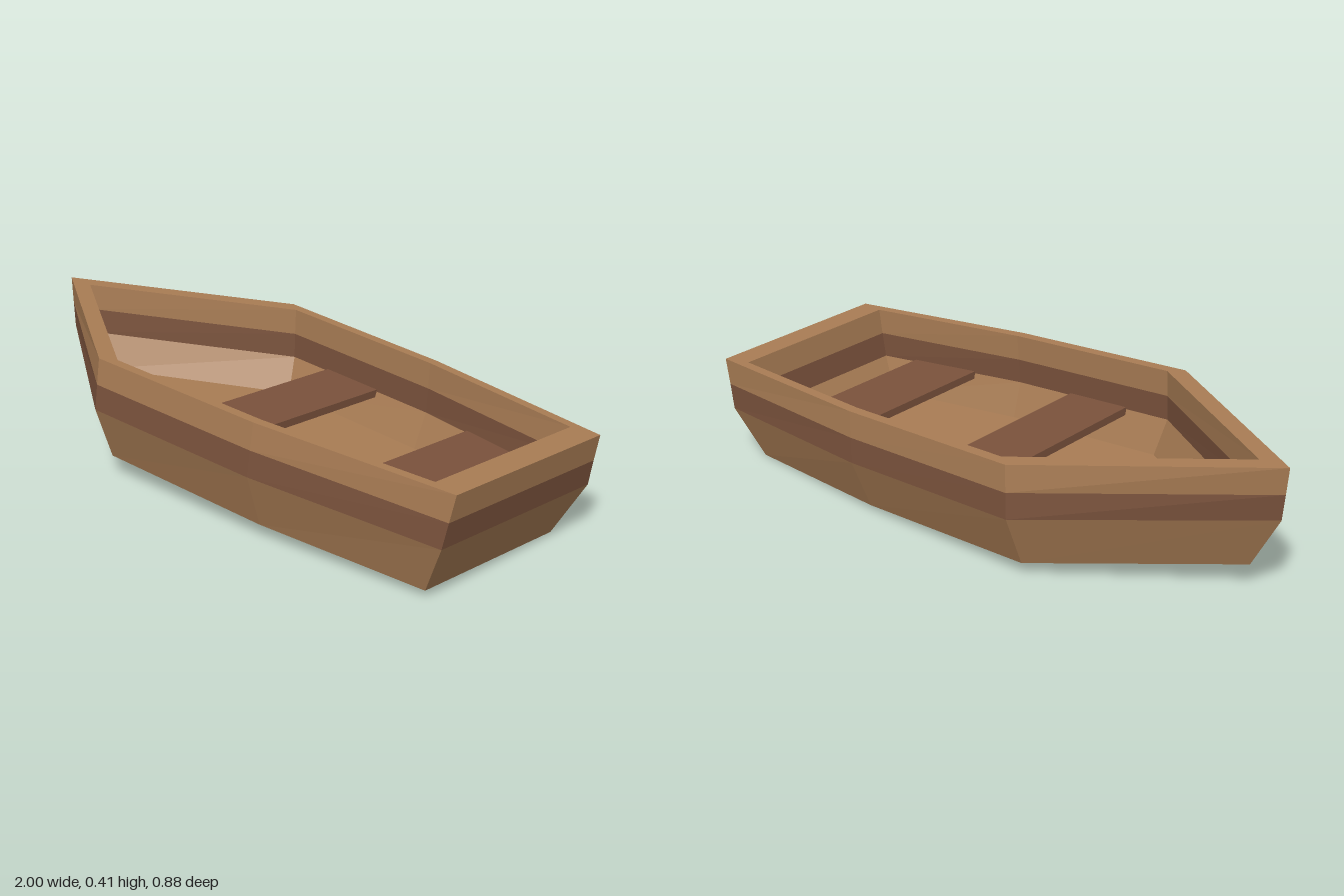
import * as THREE from 'three';

const LIGHT = new THREE.MeshStandardMaterial({ color: 0xa87c54, flatShading: true });
const DARK = new THREE.MeshStandardMaterial({ color: 0x7a523c, flatShading: true });

// Outline of the boat at one height: bow point, then pairs of corners back to the stern.
// The bow points to -x; corners are [x, half width].
function ring(y, bowX, corners) {
  const near = corners.map(([x, h]) => [x, y, h]);
  const far = corners.map(([x, h]) => [x, y, -h]).reverse();
  return [[bowX, y, 0], ...near, ...far];
}

// Strip of planks between two outlines
function band(a, b) {
  const out = [];
  a.forEach((p, i) => {
    const j = (i + 1) % a.length;
    out.push(p, a[j], b[j], p, b[j], b[i]);
  });
  return out;
}

// Flat cap over an outline
function cap(r, up) {
  const out = [];
  for (let i = 1; i < r.length - 1; i++) {
    out.push(r[0], ...(up ? [r[i], r[i + 1]] : [r[i + 1], r[i]]));
  }
  return out;
}

function addMesh(group, name, points, material) {
  const geo = new THREE.BufferGeometry();
  geo.setAttribute('position', new THREE.Float32BufferAttribute(points.flat(), 3));
  geo.computeVertexNormals();
  const mesh = new THREE.Mesh(geo, material);
  mesh.name = name;
  group.add(mesh);
}

export function createModel() {
  const boat = new THREE.Group();
  boat.name = 'rowingBoat';

  // Outlines from the keel up the outside, over the rim and down the inside
  const keel = ring(-0.336, -0.869, [[-0.33, 0.372], [0.31, 0.354], [0.884, 0.285]]);
  const outerLow = ring(-0.167, -0.974, [[-0.34, 0.437], [0.31, 0.416], [0.96, 0.331]]);
  const outerHigh = ring(-0.085, -0.987, [[-0.34, 0.432], [0.31, 0.41], [0.972, 0.326]]);
  const rimOuter = ring(0, -1, [[-0.34, 0.426], [0.31, 0.403], [0.985, 0.322]]);
  const rimInner = ring(0, -0.9, [[-0.295, 0.39], [0.31, 0.37], [0.895, 0.302]]);
  const innerHigh = ring(-0.085, -0.895, [[-0.293, 0.391], [0.31, 0.371], [0.887, 0.3]]);
  const innerLow = ring(-0.167, -0.89, [[-0.29, 0.392], [0.31, 0.372], [0.877, 0.298]]);
  const floor = ring(-0.28, -0.815, [[-0.265, 0.35], [0.31, 0.33], [0.82, 0.268]]);

  addMesh(boat, 'hullBottom', cap(keel, false), LIGHT);
  addMesh(boat, 'lowerHull', band(keel, outerLow), LIGHT);
  addMesh(boat, 'outerStripe', band(outerLow, outerHigh), DARK);
  addMesh(boat, 'gunwale', [
    ...band(outerHigh, rimOuter), ...band(rimOuter, rimInner), ...band(rimInner, innerHigh),
  ], LIGHT);
  addMesh(boat, 'innerStripe', band(innerHigh, innerLow), DARK);
  addMesh(boat, 'innerHull', band(innerLow, floor), LIGHT);
  addMesh(boat, 'floor', cap(floor, true), LIGHT);

  // Bench planks, cut to follow the inner sides
  const seats = [
    ['frontSeat', -0.13, 0.095, 0.386, 0.379],
    ['rearSeat', 0.495, 0.745, 0.348, 0.315],
  ];
  for (const [name, x0, x1, h0, h1] of seats) {
    const outline = (y) => [[x0, y, -h0], [x0, y, h0], [x1, y, h1], [x1, y, -h1]];
    const top = outline(-0.16), under = outline(-0.185);
    addMesh(boat, name, [...cap(top, true), ...band(under, top), ...cap(under, false)], DARK);
  }

  // The boat rests slightly turned, stern down and rolled to one side
  boat.rotation.set(-0.042, 0.044, -0.034, 'XZY');
  boat.position.set(0, 0.382, -0.022);

  const model = new THREE.Group();
  model.add(boat);
  return model;
}
